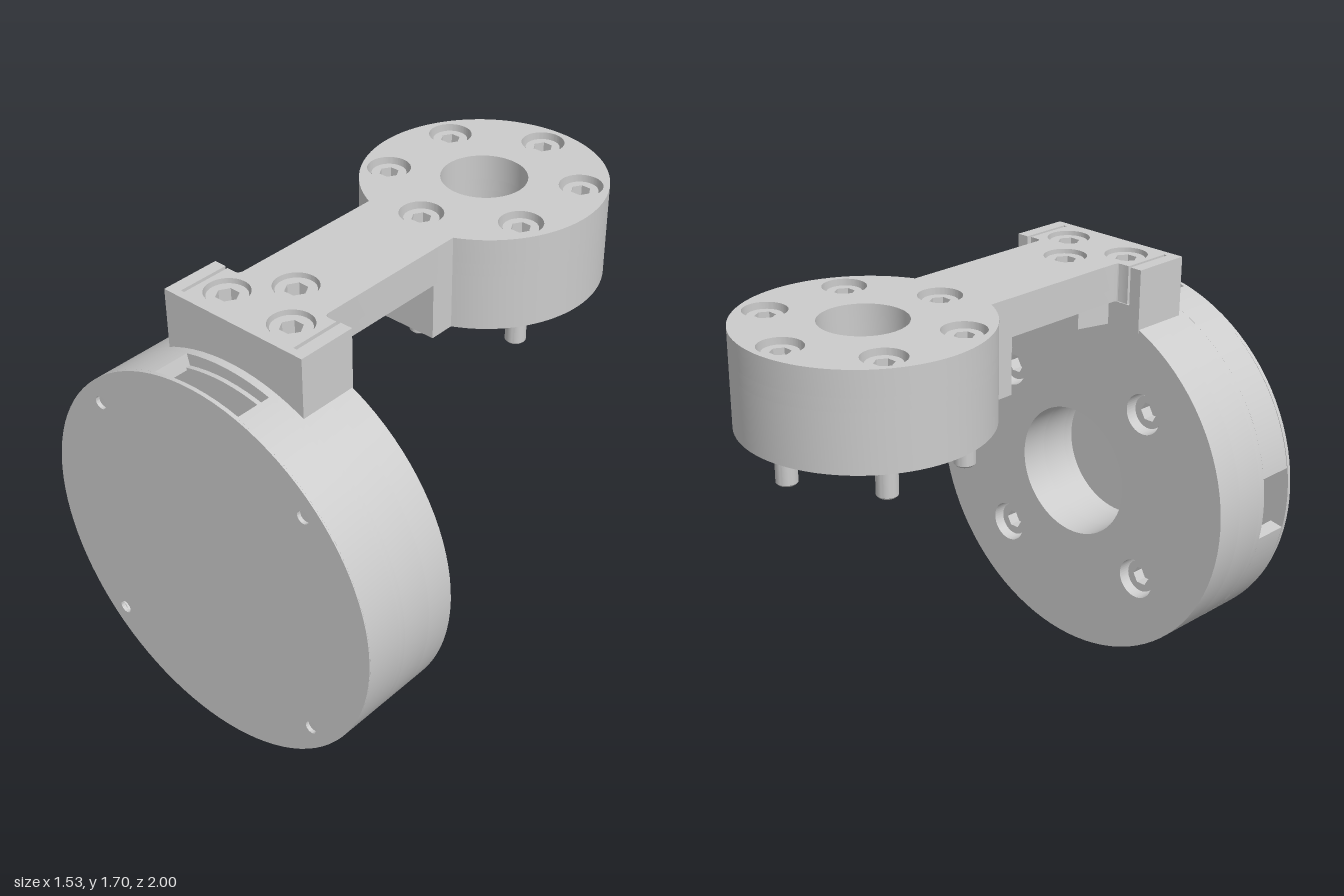
import * as THREE from 'three';
import { toCreasedNormals } from 'three/addons/utils/BufferGeometryUtils.js';

const material = new THREE.MeshStandardMaterial({ color: 0xcccccc });
const DISC_Y = 0.768, DISC_R = 0.766;

function addMesh(parent, name, geometry) {
  const mesh = new THREE.Mesh(toCreasedNormals(geometry, 0.5), material);
  mesh.name = name;
  parent.add(mesh);
  return mesh;
}

function extrude(shape, depth) {
  return new THREE.ExtrudeGeometry(shape, { depth, bevelEnabled: false, curveSegments: 48 });
}

// Horizontal slab: shape y points to -z, extruded from y0 up to y1
function slab(parent, name, shape, y0, y1) {
  const geometry = extrude(shape, y1 - y0).rotateX(-Math.PI / 2).translate(0, y0, 0);
  return addMesh(parent, name, geometry);
}

// Upright disc layer around the disc axis, from z0 forward to z1
function discLayer(parent, name, shape, z0, z1) {
  return addMesh(parent, name, extrude(shape, z1 - z0).translate(0, DISC_Y, z0));
}

function circle(r, x = 0, y = 0) {
  const path = new THREE.Shape();
  path.absarc(x, y, r, 0, Math.PI * 2, false);
  return path;
}

function polygon(points) {
  return new THREE.Shape(points.map(([x, y]) => new THREE.Vector2(x, y)));
}

function withHoles(shape, holes) {
  shape.holes.push(...holes);
  return shape;
}

// Socket-head screw, top of the head at the local origin, axis along y
function screw(parent, name, headRadius, shaftLength = 0) {
  const group = new THREE.Group();
  group.name = name;
  const hex = polygon([0, 1, 2, 3, 4, 5].map(i => {
    const a = i * Math.PI / 3;
    return [Math.cos(a) * headRadius * 0.58, Math.sin(a) * headRadius * 0.58];
  }));
  slab(group, 'screwSocket', withHoles(circle(headRadius), [hex]), -0.05, 0);
  slab(group, 'screwHead', circle(headRadius), -0.085, -0.05);
  if (shaftLength) {
    const end = -shaftLength, r = 0.04;
    const profile = [[0, end], [r - 0.008, end], [r, end + 0.008], [r, -0.08]];
    addMesh(group, 'screwShaft',
      new THREE.LatheGeometry(profile.map(([x, y]) => new THREE.Vector2(x, y)), 24));
  }
  parent.add(group);
  return group;
}

// Outline of the round head joined to the straight arm; foot adds the T-shaped end
function armOutline(foot) {
  const shape = new THREE.Shape();
  const join = Math.acos(0.2 / 0.47);
  if (foot) {
    shape.moveTo(-0.255, -0.77);
    shape.lineTo(0.255, -0.77);
    shape.lineTo(0.255, -0.565);
    shape.lineTo(0.22, -0.565);
    shape.quadraticCurveTo(0.2, -0.565, 0.2, -0.54);
  } else {
    shape.moveTo(-0.2, 0);
    shape.lineTo(0.2, 0);
  }
  shape.absarc(0, 0.53, 0.47, -join, Math.PI + join, false);
  if (foot) {
    shape.lineTo(-0.2, -0.54);
    shape.quadraticCurveTo(-0.2, -0.565, -0.22, -0.565);
    shape.lineTo(-0.255, -0.565);
  }
  return withHoles(shape, [circle(0.165, 0, 0.53)]);
}

function buildArm(model) {
  const arm = new THREE.Group();
  arm.name = 'arm';
  model.add(arm);
  const headScrews = [];
  for (let i = 0; i < 6; i++) {
    const a = Math.PI / 2 + i * Math.PI / 3;
    headScrews.push([Math.cos(a) * 0.364, 0.53 + Math.sin(a) * 0.364]);
  }
  const footScrews = [[0, -0.49], [-0.15, -0.67], [0.15, -0.67]];
  const counterbores = [...headScrews, ...footScrews].map(([x, y]) => circle(0.083, x, y));

  slab(arm, 'armTop', withHoles(armOutline(true), counterbores), 1.6, 1.7);
  slab(arm, 'armPlate', armOutline(true), 1.55, 1.6);
  slab(arm, 'armHead', armOutline(false), 1.325, 1.55);
  // Tapered tab under the arm
  slab(arm, 'armTab', polygon([[-0.17, -0.57], [0.17, -0.57], [0.13, -0.43], [-0.13, -0.43]]), 1.45, 1.55);

  for (const [x, y] of headScrews) screw(arm, 'headScrew', 0.066, 0.485).position.set(x, 1.68, -y);
  for (const [x, y] of footScrews) screw(arm, 'footScrew', 0.074).position.set(x, 1.685, -y);
}

function buildMount(model) {
  const mount = new THREE.Group();
  mount.name = 'mountBlock';
  model.add(mount);
  // Base on the disc rim and a U-shaped wall around the arm foot
  slab(mount, 'mountBase',
    polygon([[-0.32, -0.8], [0.32, -0.8], [0.32, -0.56], [-0.32, -0.56]]), 1.45, 1.55);
  slab(mount, 'mountWall',
    polygon([[-0.32, -0.8], [0.32, -0.8], [0.32, -0.56], [0.27, -0.56], [0.27, -0.77],
      [-0.27, -0.77], [-0.27, -0.56], [-0.32, -0.56]]), 1.55, 1.7);
}

function buildDisc(model) {
  const disc = new THREE.Group();
  disc.name = 'disc';
  model.add(disc);
  const corners = [[-1, -1], [1, -1], [1, 1], [-1, 1]];
  const at = d => corners.map(([x, y]) => [x * d, y * d]);

  // Back plate with bore and counterbored screws
  const bores = at(0.36).map(([x, y]) => circle(0.083, x, y));
  discLayer(disc, 'backPlateRear', withHoles(circle(DISC_R), [circle(0.272), ...bores]), 0.563, 0.68);
  discLayer(disc, 'backPlateFront', withHoles(circle(DISC_R), [circle(0.272)]), 0.68, 0.805);
  discLayer(disc, 'innerPlate', withHoles(circle(0.72), [circle(0.272)]), 0.805, 0.85);
  for (const [x, y] of at(0.36)) {
    const s = screw(disc, 'backScrew', 0.068);
    s.rotation.x = -Math.PI / 2;
    s.position.set(x, DISC_Y + y, 0.597);
  }

  // Hollow housing rim with windows at the top, bottom and one side
  discLayer(disc, 'rimRing', withHoles(circle(DISC_R), [circle(0.71)]), 0.805, 0.832);
  const q = Math.PI / 2, wide = 0.258, narrow = 0.17;
  const walls = [[-q + wide, q - wide], [q + wide, 2 * q - narrow], [2 * q + narrow, 3 * q - wide]];
  for (const [a, b] of walls) {
    const wall = new THREE.Shape();
    wall.absarc(0, 0, DISC_R, a, b, false);
    wall.absarc(0, 0, 0.71, b, a, true);
    discLayer(disc, 'rimWall', wall, 0.832, 0.98);
  }
  for (const [x, y] of at(0.485)) discLayer(disc, 'coverBoss', circle(0.055, x, y), 0.84, 0.972);

  // Front cover, seated very slightly askew
  const coverHoles = at(0.485).map(([x, y]) => circle(0.026, x, y));
  const cover = addMesh(disc, 'frontCover',
    extrude(withHoles(circle(DISC_R), coverHoles), 0.016).translate(0, 0, -0.016));
  cover.position.set(0, DISC_Y, 0.992);
  cover.rotation.y = 0.01;
}

export function createModel() {
  const model = new THREE.Group();
  model.name = 'bracketAssembly';
  buildArm(model);
  buildMount(model);
  buildDisc(model);
  return model;
}
